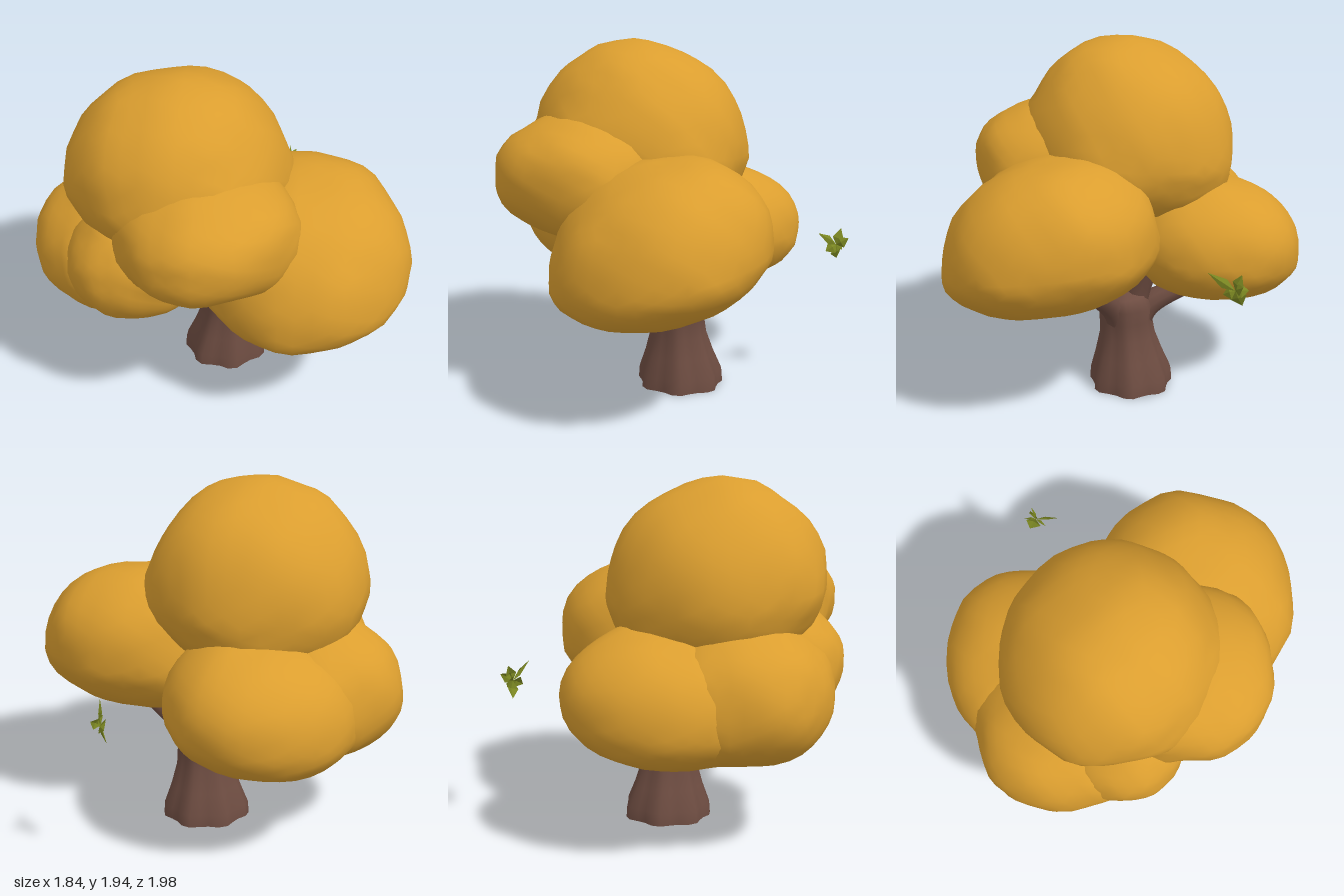
import * as THREE from 'three';
import { mergeVertices } from 'three/addons/utils/BufferGeometryUtils.js';

// Crown clumps: centre, radii [x, up, down, z], tilt (rise in y per x and per z), boxiness, seed
const CLUMPS = [
  { name: 'topClump', c: [-0.19, 1.35, -0.06], r: [0.61, 0.58, 0.38, 0.58], tilt: [-0.03, 0.1], box: 2, seed: 1.0 },
  { name: 'upperFrontClump', c: [-0.25, 1.23, 0.38], r: [0.46, 0.31, 0.32, 0.44], tilt: [0.03, 0.05], box: 2.3, seed: 2.3 },
  { name: 'frontLeftClump', c: [0.34, 0.85, 0.41], r: [0.58, 0.53, 0.31, 0.58], tilt: [0.13, -0.1], box: 2.08, seed: 3.1 },
  { name: 'backClump', c: [-0.03, 0.75, -0.52], r: [0.5, 0.41, 0.27, 0.475], tilt: [0.1, 0.03], box: 2.2, seed: 4.7 },
  { name: 'rightClump', c: [-0.46, 0.8, -0.32], r: [0.455, 0.39, 0.34, 0.46], tilt: [0, 0], box: 2.15, seed: 5.2 },
  { name: 'rightFrontClump', c: [-0.51, 0.92, 0.06], r: [0.36, 0.3, 0.3, 0.31], tilt: [-0.05, 0], box: 2.2, seed: 0.4 },
];

const norm = (x, y, z, n) => (Math.abs(x) ** n + Math.abs(y) ** n + Math.abs(z) ** n) ** (1 / n);

// Rough distance from a point to a clump's surface
function clumpDistance(p, { c, r, tilt, box }) {
  const x = p.x - c[0], z = p.z - c[2];
  const y = p.y - c[1] - tilt[0] * x - tilt[1] * z;
  return (norm(x / r[0], y / (y > 0 ? r[1] : r[2]), z / r[3], box) - 1) * 0.42;
}

// Lumpy clump that swells where it meets its neighbours, so the valleys are soft
function clumpGeometry(clump) {
  const { c, r, tilt, box, seed } = clump;
  const geo = new THREE.IcosahedronGeometry(1, 6);
  const pos = geo.attributes.position;
  const v = new THREE.Vector3(), p = new THREE.Vector3();
  for (let i = 0; i < pos.count; i++) {
    v.fromBufferAttribute(pos, i).normalize();
    const lump = Math.sin(v.x * 5 + seed) * Math.sin(v.y * 4 + seed * 2) * Math.sin(v.z * 5 + seed * 3)
      + 0.6 * Math.sin(v.x * 9 + v.y * 7 + seed) * Math.sin(v.z * 9 - v.y * 5);
    const k = (1 + 0.022 * lump) / norm(v.x, v.y, v.z, box);
    p.set(v.x * r[0], v.y * (v.y > 0 ? r[1] : r[2]), v.z * r[3]).multiplyScalar(k);
    p.y += tilt[0] * p.x + tilt[1] * p.z;
    p.add(new THREE.Vector3(...c));
    let near = 1;
    for (const other of CLUMPS) {
      if (other !== clump) near += Math.exp(-clumpDistance(p, other) / 0.035);
    }
    p.addScaledVector(v, Math.min(0.03, 0.035 * Math.log(near)));
    pos.setXYZ(i, p.x, p.y, p.z);
  }
  geo.deleteAttribute('uv');
  geo.deleteAttribute('normal');
  const merged = mergeVertices(geo, 1e-4);
  merged.computeVertexNormals();
  return merged;
}

// Skin over horizontal lobed rings { c: centre, r: [rx, rz], lobe }
function ringGeometry(rings) {
  const sides = 28, pts = [], idx = [];
  for (const { c, r, lobe } of rings) {
    for (let i = 0; i < sides; i++) {
      const a = (i / sides) * Math.PI * 2;
      const k = 1 + lobe * Math.cos(a * 7 + 0.6);
      pts.push(c[0] + Math.cos(a) * r[0] * k, c[1], c[2] - Math.sin(a) * r[1] * k);
    }
  }
  for (let j = 0; j < rings.length - 1; j++) {
    for (let i = 0; i < sides; i++) {
      const a = j * sides + i, b = j * sides + (i + 1) % sides;
      idx.push(a, b, b + sides, a, b + sides, a + sides);
    }
  }
  const geo = new THREE.BufferGeometry();
  geo.setAttribute('position', new THREE.Float32BufferAttribute(pts, 3));
  geo.setIndex(idx);
  geo.computeVertexNormals();
  return geo;
}

// Branch curving up out of the trunk, tapering to its tip
function branchGeometry(points, r0, r1) {
  const steps = 10, sides = 10;
  const curve = new THREE.CatmullRomCurve3(points.map((q) => new THREE.Vector3(...q)));
  const geo = new THREE.TubeGeometry(curve, steps, 1, sides);
  const pos = geo.attributes.position;
  const v = new THREE.Vector3();
  for (let i = 0; i < pos.count; i++) {
    const t = Math.floor(i / (sides + 1)) / steps;
    const centre = curve.getPointAt(t);
    v.fromBufferAttribute(pos, i).sub(centre).multiplyScalar(r0 + (r1 - r0) * t).add(centre);
    pos.setXYZ(i, v.x, v.y, v.z);
  }
  return geo;
}

export function createModel() {
  const tree = new THREE.Group();
  tree.name = 'tree';
  const foliageGold = new THREE.MeshStandardMaterial({ color: 0xdb9e2f });
  foliageGold.name = 'foliageGold';
  const barkBrown = new THREE.MeshStandardMaterial({ color: 0x6d4c41 });
  barkBrown.name = 'barkBrown';
  const leafGreen = new THREE.MeshStandardMaterial({ color: 0x7b8722, side: THREE.DoubleSide, flatShading: true });
  leafGreen.name = 'leafGreen';

  const add = (parent, name, geo, mat) => {
    const mesh = new THREE.Mesh(geo, mat);
    mesh.name = name;
    parent.add(mesh);
  };

  // Crown
  const crown = new THREE.Group();
  crown.name = 'crown';
  tree.add(crown);
  for (const clump of CLUMPS) add(crown, clump.name, clumpGeometry(clump), foliageGold);

  // Trunk flaring into lobed roots, with its underside
  const foot = { c: [0.11, 0, -0.04], r: [0.235, 0.225], lobe: 0.07 };
  add(tree, 'trunk', ringGeometry([
    foot,
    { c: [0.11, 0.07, -0.04], r: [0.23, 0.22], lobe: 0.07 },
    { c: [0.11, 0.18, -0.03], r: [0.19, 0.185], lobe: 0.06 },
    { c: [0.11, 0.3, -0.02], r: [0.157, 0.152], lobe: 0.05 },
    { c: [0.11, 0.4, -0.01], r: [0.15, 0.145], lobe: 0.04 },
    { c: [0.11, 0.48, -0.01], r: [0.165, 0.15], lobe: 0.03 },
    { c: [0.1, 0.55, 0.0], r: [0.16, 0.13], lobe: 0.03 },
    { c: [0.1, 0.58, 0.0], r: [0.01, 0.01], lobe: 0 },
  ]), barkBrown);
  add(tree, 'trunkUnderside', ringGeometry([{ ...foot, r: [0.001, 0.001] }, foot]), barkBrown);

  // Branches reaching into the clumps
  [
    [[0.14, 0.3, 0.01], [0.2, 0.48, 0.06], [0.4, 0.7, 0.24], 0.08, 0.055],
    [[0.07, 0.3, 0.01], [0.03, 0.5, 0.06], [-0.14, 0.7, 0.18], 0.085, 0.06],
    [[0.13, 0.3, -0.04], [0.13, 0.52, -0.07], [0.17, 0.8, -0.17], 0.085, 0.045],
    [[0.11, 0.3, -0.05], [0.1, 0.46, -0.13], [0.06, 0.59, -0.42], 0.085, 0.045],
    [[0.07, 0.3, -0.02], [0.02, 0.5, -0.05], [-0.2, 0.72, -0.16], 0.085, 0.06],
  ].forEach(([a, b, c, r0, r1], i) =>
    add(tree, 'branch' + (i + 1), branchGeometry([a, b, c], r0, r1), barkBrown));

  // Small loose sprig: folded blades sharing one heart
  const sprig = new THREE.Group();
  sprig.name = 'leafSprig';
  tree.add(sprig);
  const heart = new THREE.Vector3(0.82, 0.83, -0.53);
  [
    [0.79, 0.92, -0.39, 0.026],
    [0.8, 0.74, -0.57, 0.046],
    [0.83, 0.92, -0.56, 0.034],
    [0.88, 0.87, -0.56, 0.034],
    [0.79, 0.8, -0.47, 0.038],
    [0.82, 0.83, -0.6, 0.038],
  ].forEach(([x, y, z, w], i) => {
    const tip = new THREE.Vector3(x, y, z);
    const dir = tip.clone().sub(heart).normalize();
    const side = dir.clone().cross(new THREE.Vector3(0.8, 0.5, 0.4)).normalize().multiplyScalar(w);
    const fold = dir.clone().cross(side).normalize().multiplyScalar(-0.012);
    const mid = heart.clone().lerp(tip, 0.4);
    const corners = [heart, mid.clone().add(side), tip, mid.clone().sub(side), mid.clone().add(fold)];
    const geo = new THREE.BufferGeometry().setFromPoints(corners);
    geo.setIndex([0, 1, 4, 1, 2, 4, 2, 3, 4, 3, 0, 4]);
    geo.computeVertexNormals();
    add(sprig, 'blade' + (i + 1), geo, leafGreen);
  });

  return tree;
}
